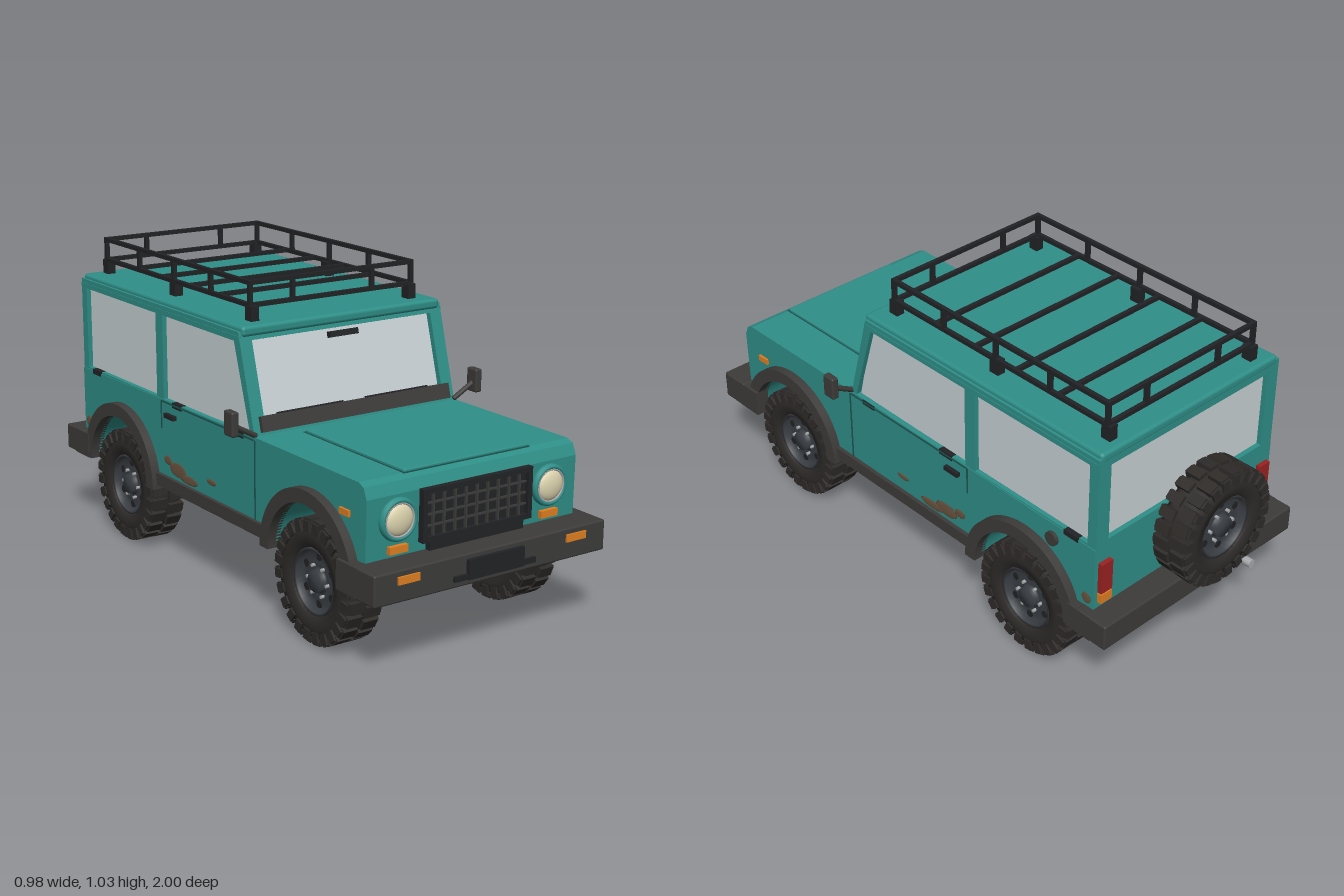
import * as THREE from 'three';
import { mergeGeometries } from 'three/addons/utils/BufferGeometryUtils.js';
import { RoundedBoxGeometry } from 'three/addons/geometries/RoundedBoxGeometry.js';

const mat = (color) => new THREE.MeshStandardMaterial({ color });
const M = {
  paint: mat(0x2f8f88), trim: mat(0x3d3c3a), black: mat(0x222326), seam: mat(0x1d5753),
  glass: mat(0xc9d3d6), tyre: mat(0x2e2b29), rim: mat(0x3a3e43), lens: mat(0xded5b0),
  amber: mat(0xe07f22), red: mat(0x9c2222), steel: mat(0xa8abad), rust: mat(0x6b5440),
};

export function createModel() {
  const root = new THREE.Group();
  const add = (name, geo, m, x = 0, y = 0, z = 0, parent = root) => {
    const mesh = new THREE.Mesh(geo, m);
    mesh.name = name;
    mesh.position.set(x, y, z);
    parent.add(mesh);
    return mesh;
  };
  // box given by its limits on each axis
  const box = (name, m, x0, x1, y0, y1, z0, z1, r = 0) => {
    const s = [x1 - x0, y1 - y0, z1 - z0];
    const g = r ? new RoundedBoxGeometry(...s, 2, r) : new THREE.BoxGeometry(...s);
    return add(name, g, m, (x0 + x1) / 2, (y0 + y1) / 2, (z0 + z1) / 2);
  };
  const poly = (pts, C = THREE.Shape) => new C(pts.map((p) => new THREE.Vector2(...p)));
  // side profile drawn in (z, y), extruded across x and centred
  const acrossX = (shape, width) => {
    const g = new THREE.ExtrudeGeometry(shape, { depth: width, bevelEnabled: false, curveSegments: 28 });
    return g.translate(0, 0, -width / 2).rotateY(-Math.PI / 2);
  };
  const bar = (name, m, a, b, r) => {
    const p = new THREE.Vector3(...a), q = new THREE.Vector3(...b), d = q.clone().sub(p);
    const mesh = add(name, new THREE.CylinderGeometry(r, r, d.length(), 10), m);
    mesh.position.copy(p).add(q).multiplyScalar(0.5);
    mesh.quaternion.setFromUnitVectors(new THREE.Vector3(0, 1, 0), d.normalize());
    return mesh;
  };
  const FRONT = 0.62, REAR = -0.535, ARCH_Y = 0.25;

  // lower body with both wheel arches cut out
  const body = new THREE.Shape();
  body.moveTo(-0.83, 0.27);
  for (const z of [REAR, FRONT]) {
    body.lineTo(z - 0.2, 0.27);
    body.absarc(z, ARCH_Y, 0.2, Math.PI - 0.1, 0.1, true);
  }
  [[0.885, 0.27], [0.89, 0.53], [0.875, 0.565], [0.85, 0.575], [0.3, 0.575], [-0.83, 0.565]]
    .forEach((p) => body.lineTo(...p));
  add('lowerBody', acrossX(body, 0.796), M.paint);
  box('bonnetPanel', M.paint, -0.235, 0.235, 0.57, 0.584, 0.345, 0.85, 0.004);
  for (const s of [-1, 1]) box('bonnetSeam', M.seam, s * 0.238 - 0.002, s * 0.238 + 0.002, 0.57, 0.577, 0.345, 0.85);
  for (const z of [0.343, 0.852]) box('bonnetSeam', M.seam, -0.24, 0.24, 0.57, 0.577, z - 0.002, z + 0.002);

  // cabin: inset glass block, window frames and roof
  add('glass', acrossX(poly([[-0.815, 0.56], [0.275, 0.56], [0.19, 0.885], [-0.815, 0.885]]), 0.758), M.glass);
  for (const s of [-1, 1]) {
    const side = poly([[-0.83, 0.56], [0.303, 0.56], [0.21, 0.89], [-0.83, 0.89]]);
    side.holes.push(poly([[0.276, 0.572], [0.185, 0.858], [-0.26, 0.858], [-0.26, 0.572]], THREE.Path));
    side.holes.push(poly([[-0.305, 0.572], [-0.305, 0.858], [-0.795, 0.858], [-0.795, 0.572]], THREE.Path));
    add('sideWindowFrame', acrossX(side, 0.018), M.paint, s * 0.386);
    box('roofGutter', M.paint, s * 0.39 - 0.007, s * 0.39 + 0.007, 0.862, 0.876, -0.83, 0.215);
  }
  const panel = (name, hw, y0, y1, hole) => {
    const s = poly([[-hw, y0], [hw, y0], [hw, y1], [-hw, y1]]);
    const [w, a, b] = hole;
    s.holes.push(poly([[-w, a], [-w, b], [w, b], [w, a]], THREE.Path));
    return add(name, new THREE.ExtrudeGeometry(s, { depth: 0.02, bevelEnabled: false }), M.paint);
  };
  panel('rearWindowFrame', 0.394, 0.56, 0.89, [0.345, 0.585, 0.855]).position.z = -0.832;
  const screen = new THREE.Group();
  screen.name = 'windscreen';
  screen.position.set(0, 0.575, 0.3);
  screen.rotation.x = -0.278;
  root.add(screen);
  const frame = panel('windscreenFrame', 0.394, 0, 0.328, [0.35, 0.055, 0.297]);
  frame.position.z = -0.02;
  screen.add(frame);
  add('screenCowl', new THREE.BoxGeometry(0.74, 0.05, 0.03), M.trim, 0, 0.034, 0, screen);
  for (const x of [-0.28, 0.06]) {
    add('wiper', new THREE.BoxGeometry(0.25, 0.008, 0.008), M.black, x + 0.1, 0.06, 0.008, screen);
  }
  add('rearViewMirror', new THREE.BoxGeometry(0.11, 0.02, 0.02), M.black, 0, 0.277, -0.012, screen);
  box('roof', M.paint, -0.386, 0.386, 0.872, 0.906, -0.833, 0.222, 0.012);

  // floor, inner wheel wells, chassis and running gear
  box('wheelWells', M.black, -0.265, 0.265, 0.255, 0.5, -0.8, 0.86);
  box('floor', M.black, -0.39, 0.39, 0.25, 0.28, -0.325, 0.41);
  box('chassis', M.black, -0.23, 0.23, 0.18, 0.27, -0.68, 0.75);
  for (const z of [FRONT, REAR]) {
    bar('axle', M.black, [-0.3, 0.205, z], [0.3, 0.205, z], 0.028);
    add('differential', new THREE.SphereGeometry(0.058, 20, 14), M.black, 0, 0.198, z);
  }
  bar('exhaust', M.steel, [-0.23, 0.225, -0.6], [-0.23, 0.225, -0.93], 0.015);

  // one wheel, axle along x, outer face at +x
  const lathe = (pts) => new THREE.LatheGeometry(pts.map((p) => new THREE.Vector2(...p)), 40).rotateZ(-Math.PI / 2);
  const tyreGeo = lathe([[0.104, -0.05], [0.145, -0.062], [0.176, -0.056], [0.186, -0.036],
    [0.186, 0.036], [0.176, 0.056], [0.145, 0.062], [0.112, 0.058], [0.104, 0.04]]);
  const rimGeo = lathe([[0, -0.04], [0.105, -0.05], [0.106, 0.052], [0.097, 0.05], [0.092, 0.026],
    [0.06, 0.034], [0.045, 0.03], [0.036, 0.032], [0.034, 0.05], [0, 0.052]]);
  const blocks = [], holes = [], nuts = [];
  const N = 24;
  for (let i = 0; i < N; i++) {
    for (const s of [-1, 1]) {
      const a = ((i + (s > 0 ? 0.5 : 0)) / N) * Math.PI * 2;
      blocks.push(new THREE.BoxGeometry(0.052, 0.018, 0.036).translate(s * 0.032, 0.189, 0).rotateX(a));
      blocks.push(new THREE.BoxGeometry(0.016, 0.036, 0.028).translate(s * 0.057, 0.174, 0).rotateX(a));
    }
  }
  for (let i = 0; i < 6; i++) {
    const a = (i / 6) * Math.PI * 2;
    holes.push(new THREE.CylinderGeometry(0.013, 0.013, 0.012, 14).rotateZ(Math.PI / 2).translate(0.027, 0.075, 0).rotateX(a));
    nuts.push(new THREE.CylinderGeometry(0.006, 0.006, 0.014, 6).rotateZ(Math.PI / 2).translate(0.036, 0.05, 0).rotateX(a + 0.5));
  }
  const parts = [['tyre', tyreGeo, M.tyre], ['tread', mergeGeometries(blocks), M.tyre], ['rim', rimGeo, M.rim],
    ['rimHoles', mergeGeometries(holes), M.black], ['wheelNuts', mergeGeometries(nuts), M.steel]];
  const wheel = (name, x, y, z, turn) => {
    const g = new THREE.Group();
    g.name = name;
    parts.forEach(([n, geo, m]) => add(n, geo, m, 0, 0, 0, g));
    g.position.set(x, y, z);
    g.rotation.y = turn;
    root.add(g);
  };
  for (const s of [-1, 1]) {
    for (const z of [FRONT, REAR]) wheel(z > 0 ? 'frontWheel' : 'rearWheel', s * 0.342, 0.199, z, s > 0 ? 0 : Math.PI);
  }
  wheel('spareWheel', 0, 0.53, -0.935, Math.PI / 2);
  box('spareWheelMount', M.black, -0.06, 0.06, 0.48, 0.58, -0.89, -0.82);

  // details mirrored on both sides
  const flare = new THREE.Shape();
  flare.absarc(0, 0, 0.245, 0, Math.PI, false);
  flare.absarc(0, 0, 0.2, Math.PI, 0, true);
  const flareGeo = acrossX(flare, 0.045);
  for (const s of [-1, 1]) {
    const sideBox = (name, m, x0, x1, ...rest) => box(name, m, Math.min(s * x0, s * x1), Math.max(s * x0, s * x1), ...rest);
    for (const z of [FRONT, REAR]) add('wheelArchFlare', flareGeo, M.trim, s * 0.406, ARCH_Y, z);
    sideBox('sill', M.trim, 0.37, 0.412, 0.265, 0.308, -0.31, 0.395);
    for (const z of [0.306, -0.272]) sideBox('doorSeam', M.seam, 0.39, 0.4, z < 0 ? 0.47 : 0.308, 0.565, z - 0.003, z + 0.003);
    sideBox('doorSeam', M.seam, 0.39, 0.4, 0.562, 0.568, -0.27, 0.3);
    sideBox('doorHandle', M.black, 0.39, 0.412, 0.516, 0.531, -0.237, -0.175);
    sideBox('sideIndicator', M.amber, 0.39, 0.406, 0.46, 0.48, 0.765, 0.812);
    for (const z of [0.21, -0.17, -0.73]) sideBox('windowCatch', M.black, 0.38, 0.399, 0.555, 0.573, z - 0.03, z + 0.03);
    // patches of rust on the lower doors
    for (const [z, y, a, b] of [[0.045, 0.36, 0.03, 0.01], [-0.1, 0.328, 0.06, 0.016], [-0.17, 0.345, 0.055, 0.025], [-0.235, 0.365, 0.025, 0.016], [-0.8, 0.37, 0.02, 0.02]]) {
      add('rustPatch', new THREE.SphereGeometry(1, 9, 6), M.rust, s * 0.398, y, z).scale.set(0.002, b, a);
    }
    // door mirror
    bar('mirrorArm', M.trim, [s * 0.39, 0.578, 0.3], [s * 0.475, 0.625, 0.3], 0.009);
    sideBox('doorMirror', M.trim, 0.466, 0.492, 0.592, 0.672, 0.275, 0.325, 0.006);
    // headlight: painted ring, chrome rim and domed lens
    const ring = add('headlightRing', new THREE.TorusGeometry(0.058, 0.009, 10, 36), M.paint, s * 0.288, 0.455, 0.894);
    ring.scale.z = 1.6;
    add('headlightRim', new THREE.TorusGeometry(0.051, 0.004, 8, 36), M.steel, s * 0.288, 0.455, 0.902);
    add('headlightLens', new THREE.SphereGeometry(0.05, 28, 16), M.lens, s * 0.288, 0.455, 0.897).scale.z = 0.4;
    sideBox('frontIndicator', M.amber, 0.255, 0.322, 0.353, 0.376, 0.88, 0.902);
    sideBox('bumperLamp', M.amber, 0.28, 0.358, 0.298, 0.322, 0.97, 0.993);
    sideBox('tailLamp', M.red, 0.335, 0.382, 0.4, 0.51, -0.846, -0.82);
    sideBox('rearIndicator', M.amber, 0.335, 0.382, 0.362, 0.395, -0.846, -0.82);
    sideBox('frontBumperEnd', M.trim, 0.39, 0.44, 0.245, 0.338, 0.8, 0.9);
    sideBox('rearBumperEnd', M.trim, 0.38, 0.432, 0.25, 0.338, -0.85, -0.75);
  }
  const cap = add('fuelCap', new THREE.CylinderGeometry(0.024, 0.024, 0.016, 20), M.trim, 0.402, 0.515, -0.655);
  cap.rotation.z = Math.PI / 2;

  // grille and bumpers
  box('grilleBack', M.black, -0.205, 0.205, 0.375, 0.525, 0.88, 0.894);
  for (const s of [-1, 1]) {
    box('grilleFrame', M.black, s * 0.2 - 0.008, s * 0.2 + 0.008, 0.368, 0.53, 0.88, 0.91);
    box('grilleFrame', M.black, -0.208, 0.208, 0.45 + s * 0.074 - 0.008, 0.45 + s * 0.074 + 0.008, 0.88, 0.91);
  }
  for (let i = -4; i <= 4; i++) box('grilleBar', M.trim, i * 0.041 - 0.003, i * 0.041 + 0.003, 0.38, 0.52, 0.89, 0.903);
  for (const y of [0.415, 0.45, 0.485]) box('grilleSlat', M.trim, -0.195, 0.195, y - 0.003, y + 0.003, 0.89, 0.9);
  box('grilleLowerStrip', M.black, -0.18, 0.18, 0.338, 0.365, 0.88, 0.905);
  box('frontBumper', M.trim, -0.44, 0.44, 0.242, 0.34, 0.875, 0.987, 0.006);
  box('bumperPlate', M.black, -0.106, 0.106, 0.262, 0.324, 0.97, 1.0);
  box('bumperStep', M.black, -0.155, 0.155, 0.263, 0.28, 0.97, 0.996);
  box('rearBumper', M.trim, -0.432, 0.432, 0.25, 0.34, -0.913, -0.79, 0.006);

  // roof rack
  const X = 0.315, Z0 = -0.783, Z1 = 0.155, LOW = 0.955, TOP = 1.027, t = 0.007;
  for (const y of [LOW, TOP]) {
    for (const s of [-1, 1]) box('rackSideRail', M.black, s * X - t, s * X + t, y - t, y + t, Z0 - t, Z1 + t);
    for (const z of [Z0, Z1]) box('rackEndRail', M.black, -X, X, y - t, y + t, z - t, z + t);
  }
  for (const z of [-0.04, -0.22, -0.4, -0.58]) box('rackCrossBar', M.black, -X, X, LOW - t, LOW + t, z - t, z + t);
  for (const s of [-1, 1]) {
    for (const z of [Z0, -0.548, -0.314, -0.08, Z1]) box('rackPost', M.black, s * X - t, s * X + t, LOW, TOP, z - t, z + t);
    for (const z of [Z0, Z1]) box('rackPost', M.black, s * 0.155 - t, s * 0.155 + t, LOW, TOP, z - t, z + t);
    for (const z of [Z0, -0.314, Z1]) box('rackFoot', M.black, s * 0.308 - 0.015, s * 0.308 + 0.015, 0.9, LOW, z - 0.018, z + 0.018);
  }
  return root;
}
